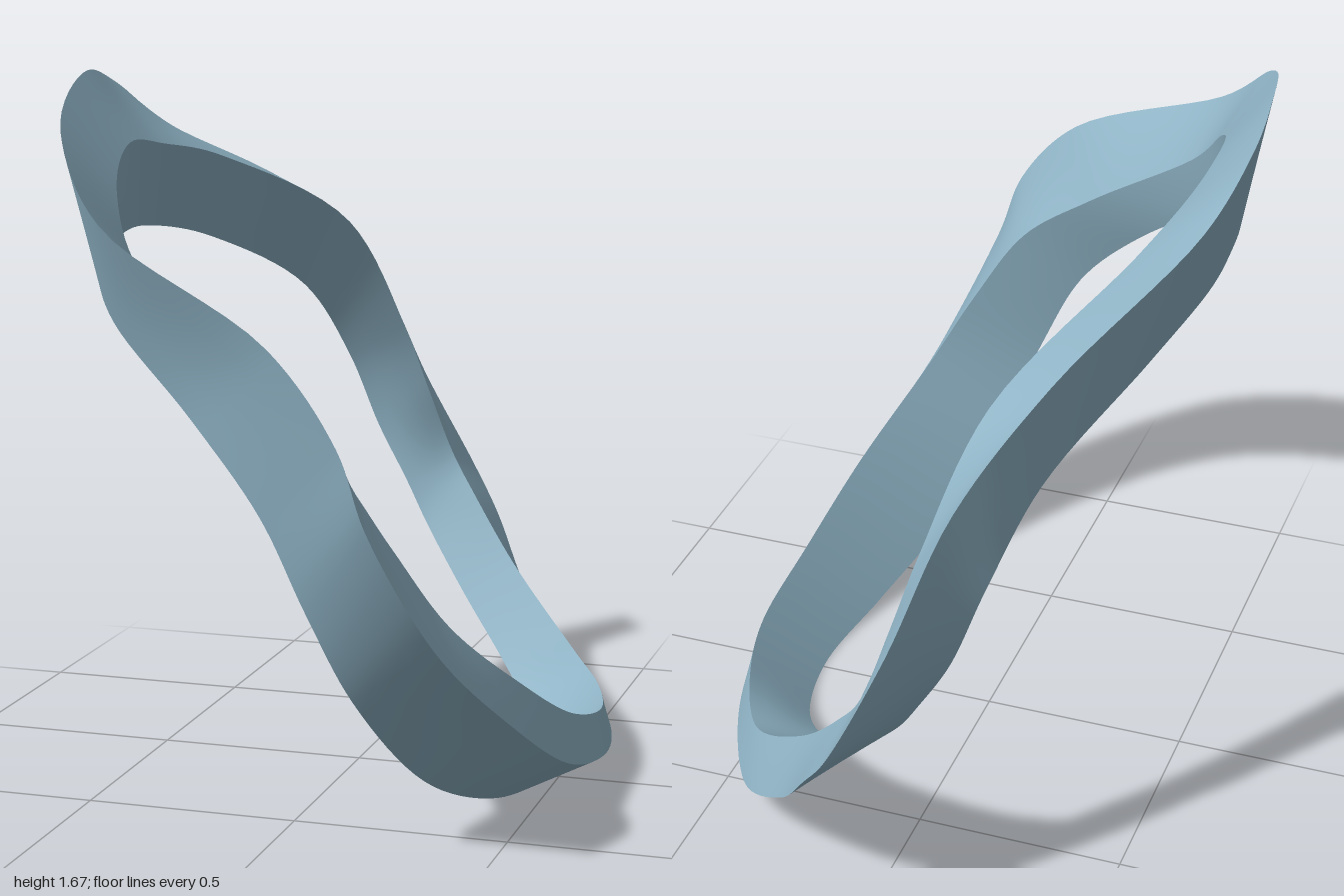
import * as THREE from 'three';

// Three edge loops of a band with a triangular cross-section.
// Each loop has matching stations: top, front, bottom, back, and up again.
const OUTER_EDGE = [
  [-0.6, 1.67, 0.2], [-0.5, 1.56, 0.6], [-0.33, 1.38, 0.8], [0.1, 1.16, 0.96], [0.26, 0.97, 1],
  [0.32, 0.8, 0.995], [0.43, 0.53, 0.87], [0.53, 0.3, 0.6], [0.595, 0.13, 0.3], [0.615, 0.07, 0],
  [0.555, 0.06, -0.3], [0.41, 0.08, -0.6], [0.22, 0.24, -0.81], [0.1, 0.42, -0.95], [0.02, 0.54, -1],
  [-0.09, 0.78, -0.93], [-0.2, 1.09, -0.8], [-0.35, 1.32, -0.6], [-0.56, 1.52, -0.2], [-0.61, 1.63, 0],
];
const INNER_EDGE = [
  [-0.475, 1.51, 0.25], [-0.41, 1.42, 0.5], [-0.3, 1.27, 0.65], [0, 1.05, 0.77], [0.19, 0.9, 0.805],
  [0.31, 0.72, 0.775], [0.41, 0.54, 0.69], [0.52, 0.35, 0.45], [0.575, 0.22, 0.2], [0.588, 0.16, -0.06],
  [0.53, 0.157, -0.28], [0.42, 0.175, -0.5], [0.21, 0.34, -0.7], [0.07, 0.5, -0.81], [0, 0.6, -0.85],
  [-0.06, 0.78, -0.815], [-0.11, 0.95, -0.765], [-0.21, 1.24, -0.6], [-0.41, 1.44, -0.2], [-0.465, 1.49, 0.05],
];
const REAR_EDGE = [
  [-0.53, 1.29, 0.15], [-0.48, 1.24, 0.44], [-0.37, 1.15, 0.63], [-0.14, 0.97, 0.77], [0.04, 0.78, 0.84],
  [0.14, 0.58, 0.84], [0.22, 0.37, 0.76], [0.32, 0.14, 0.55], [0.41, 0.03, 0.3], [0.455, 0, 0.04],
  [0.4, 0.03, -0.22], [0.25, 0.14, -0.45], [0.1, 0.28, -0.6], [-0.03, 0.43, -0.71], [-0.1, 0.54, -0.75],
  [-0.18, 0.68, -0.763], [-0.25, 0.87, -0.73], [-0.33, 1.07, -0.6], [-0.47, 1.23, -0.28], [-0.53, 1.285, -0.02],
];

const SEGMENTS = 160;
const ROWS = 4;

const loop = (points) =>
  new THREE.CatmullRomCurve3(points.map((p) => new THREE.Vector3(...p)), true, 'centripetal');

// Smooth closed strip ruled between two edge loops
function ruledStrip(from, to) {
  const positions = [];
  const index = [];
  for (let i = 0; i < SEGMENTS; i++) {
    const a = from.getPoint(i / SEGMENTS);
    const b = to.getPoint(i / SEGMENTS);
    for (let j = 0; j <= ROWS; j++) positions.push(...a.clone().lerp(b, j / ROWS).toArray());
  }
  const at = (i, j) => (i % SEGMENTS) * (ROWS + 1) + j;
  for (let i = 0; i < SEGMENTS; i++) {
    for (let j = 0; j < ROWS; j++) {
      index.push(at(i, j), at(i + 1, j), at(i, j + 1));
      index.push(at(i + 1, j), at(i + 1, j + 1), at(i, j + 1));
    }
  }
  const geometry = new THREE.BufferGeometry();
  geometry.setAttribute('position', new THREE.Float32BufferAttribute(positions, 3));
  geometry.setIndex(index);
  geometry.computeVertexNormals();
  return geometry;
}

export function createModel() {
  const group = new THREE.Group();
  group.name = 'twistedRing';
  const material = new THREE.MeshStandardMaterial({ color: 0x8fb3c5 });
  material.name = 'paleBlue';

  const outer = loop(OUTER_EDGE);
  const inner = loop(INNER_EDGE);
  const rear = loop(REAR_EDGE);

  // Rim, inside wall and outside wall meet at sharp edges
  const faces = { rimFace: [outer, inner], insideWall: [inner, rear], outsideWall: [rear, outer] };
  for (const [name, [from, to]] of Object.entries(faces)) {
    const mesh = new THREE.Mesh(ruledStrip(from, to), material);
    mesh.name = name;
    group.add(mesh);
  }
  return group;
}
